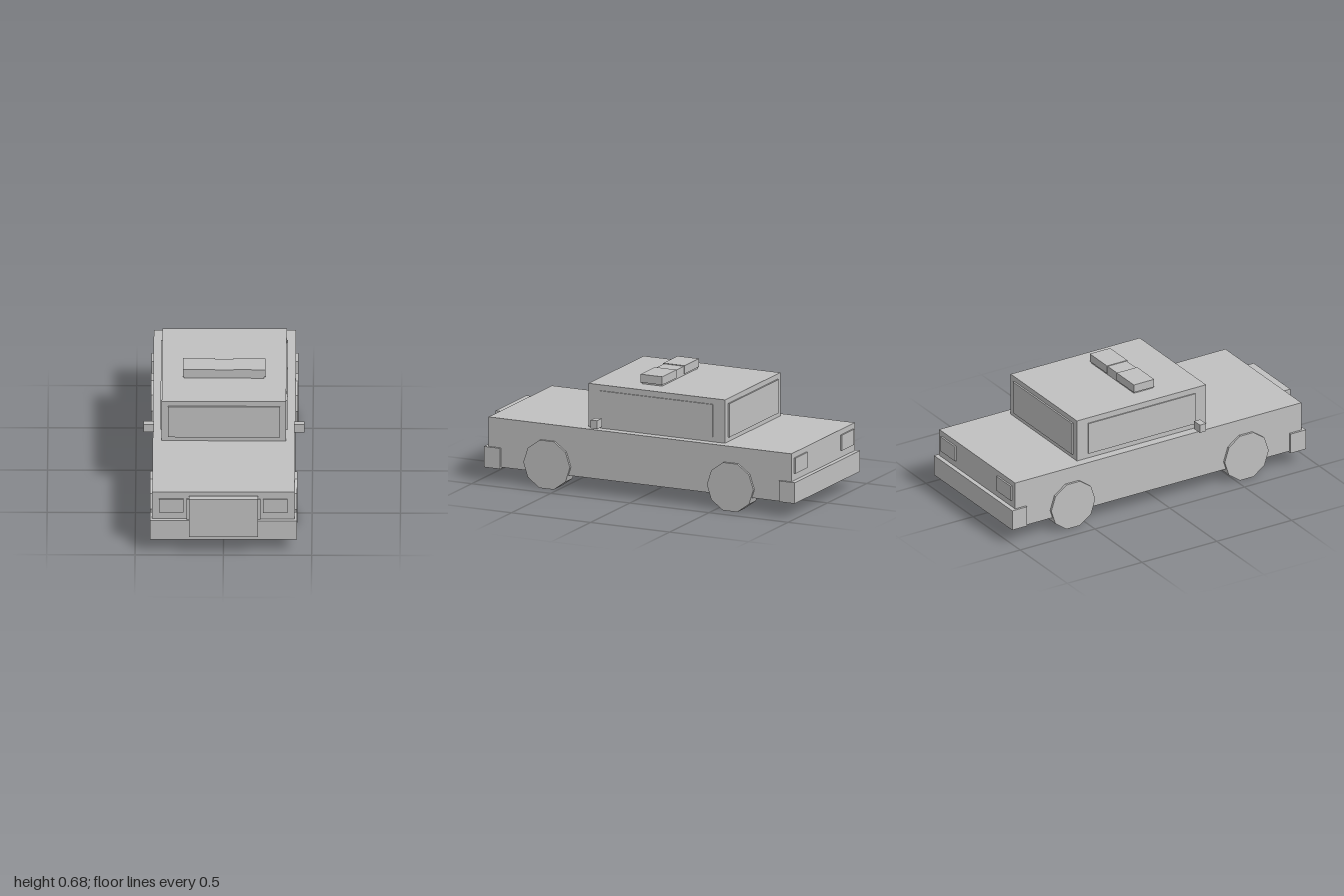
import * as THREE from 'three';

export function createModel() {
  const car = new THREE.Group();
  car.name = 'patrolCar';
  const paint = new THREE.MeshStandardMaterial({ color: 0xc0c0c0, flatShading: true });
  paint.name = 'plain grey';

  // Box given by its extents along each axis
  function box(name, [x0, x1], [y0, y1], [z0, z1]) {
    const mesh = new THREE.Mesh(new THREE.BoxGeometry(x1 - x0, y1 - y0, z1 - z0), paint);
    mesh.position.set((x0 + x1) / 2, (y0 + y1) / 2, (z0 + z1) / 2);
    mesh.name = name;
    car.add(mesh);
  }
  // Same box on both sides of the car
  function pair(name, [x0, x1], y, z) {
    box(name + 'Left', [x0, x1], y, z);
    box(name + 'Right', [-x1, -x0], y, z);
  }

  // Body and cabin
  box('body', [-0.403, 0.403], [0.09, 0.375], [-0.973, 0.942]);
  box('cabin', [-0.352, 0.352], [0.375, 0.628], [-0.527, 0.336]);

  // Windows
  box('windshield', [-0.316, 0.316], [0.402, 0.598], [0.336, 0.345]);
  box('rearWindow', [-0.314, 0.314], [0.402, 0.598], [-0.537, -0.527]);
  pair('sideWindow', [0.352, 0.359], [0.404, 0.594], [-0.453, 0.26]);

  // Bumpers and push guard
  box('frontBumper', [-0.416, 0.416], [0.082, 0.203], [0.862, 0.965]);
  box('rearBumper', [-0.416, 0.416], [0.09, 0.212], [-1, -0.9]);
  box('pushGuard', [-0.195, 0.195], [0.116, 0.358], [0.957, 1]);

  // Grille and lights
  box('grille', [-0.209, 0.209], [0.18, 0.332], [0.94, 0.952]);
  pair('headlight', [0.225, 0.364], [0.247, 0.332], [0.94, 0.952]);
  pair('tailLight', [0.22, 0.372], [0.253, 0.344], [-0.983, -0.972]);

  // Door mirrors
  pair('mirror', [0.395, 0.455], [0.395, 0.444], [0.23, 0.27]);

  // Roof light bar
  box('lightBarBase', [-0.226, 0.226], [0.628, 0.681], [-0.067, 0.06]);
  pair('lightBarLamp', [0.052, 0.234], [0.637, 0.685], [-0.072, 0.064]);

  // Ten-sided wheels
  const wheelGeometry = new THREE.CylinderGeometry(0.147, 0.147, 0.089, 10).rotateZ(Math.PI / 2);
  for (const [end, z] of [['front', 0.568], ['rear', -0.592]]) {
    for (const [side, x] of [['Left', 0.372], ['Right', -0.372]]) {
      const wheel = new THREE.Mesh(wheelGeometry, paint);
      wheel.position.set(x, 0.14, z);
      wheel.name = end + 'Wheel' + side;
      car.add(wheel);
    }
  }
  return car;
}
